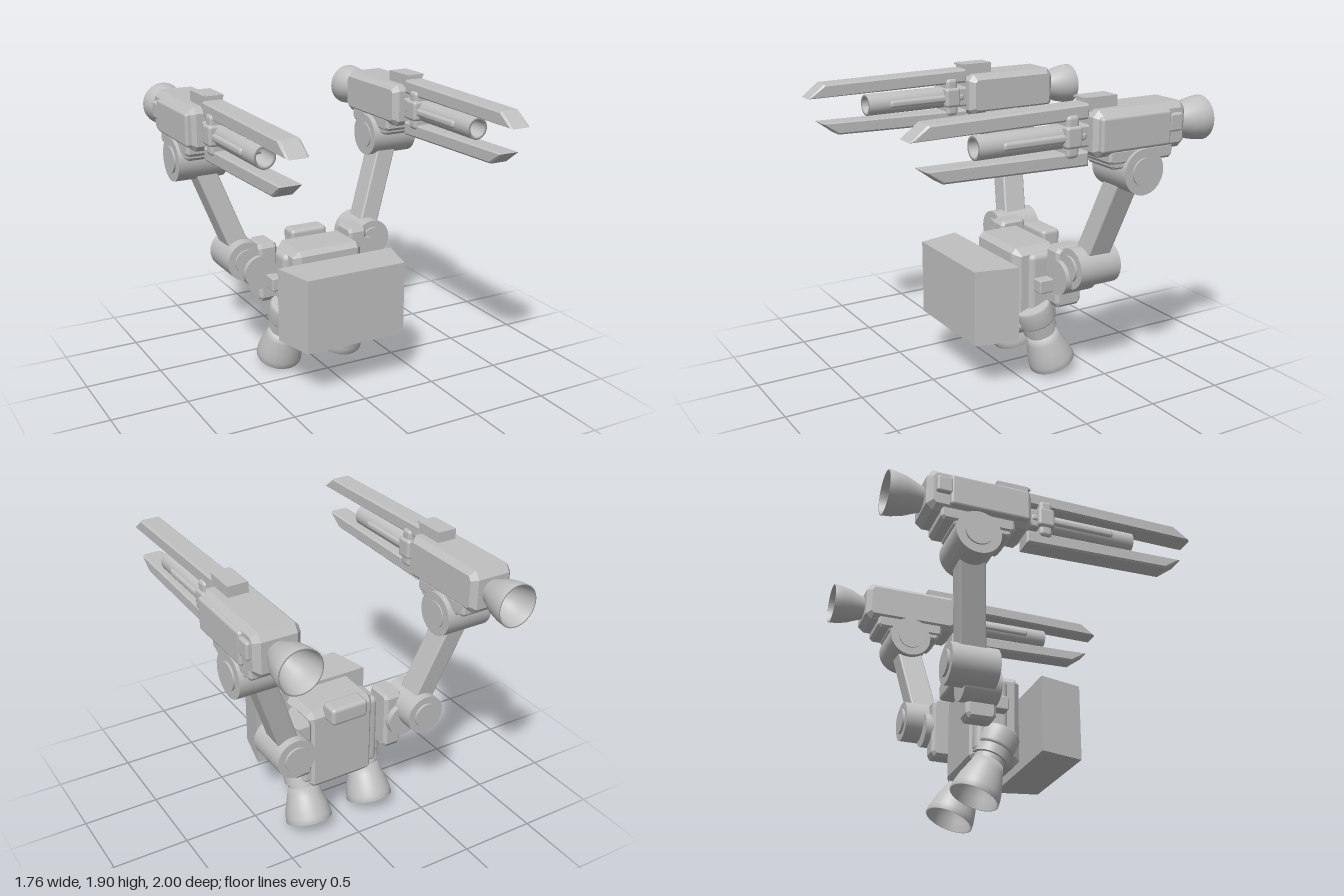
import * as THREE from 'three';
import { RoundedBoxGeometry } from 'three/addons/geometries/RoundedBoxGeometry.js';

export function createModel() {
  const model = new THREE.Group();
  const grey = new THREE.MeshStandardMaterial({ color: 0xc0c0c0, side: THREE.DoubleSide });
  grey.name = 'plain grey';

  const add = (parent, name, geo, x = 0, y = 0, z = 0) => {
    const mesh = new THREE.Mesh(geo, grey);
    mesh.name = name;
    mesh.position.set(x, y, z);
    parent.add(mesh);
    return mesh;
  };
  const rounded = (w, h, d, r) => new RoundedBoxGeometry(w, h, d, 2, r);
  const cyl = (r, len, axis) => {
    const g = new THREE.CylinderGeometry(r, r, len, 40);
    if (axis === 'x') g.rotateZ(Math.PI / 2);
    if (axis === 'z') g.rotateX(Math.PI / 2);
    return g;
  };
  // Side outline of [z, y] points, extruded to a width along x with chamfered edges
  const sideExtrude = (points, width, bevel) => {
    const shape = new THREE.Shape(points.map(([z, y]) => new THREE.Vector2(z, y)));
    const g = new THREE.ExtrudeGeometry(shape, {
      depth: width - 2 * bevel, bevelEnabled: true, bevelThickness: bevel,
      bevelSize: bevel, bevelOffset: -bevel, bevelSegments: 1,
    });
    g.translate(0, 0, bevel - width / 2);
    g.rotateY(-Math.PI / 2);
    return g;
  };
  const lathe = (points) =>
    new THREE.LatheGeometry(points.map(([r, y]) => new THREE.Vector2(r, y)), 40);

  // Torso
  add(model, 'torso', sideExtrude(
    [[0.035, 0.33], [0.035, 0.84], [0.005, 0.872], [-0.25, 0.872], [-0.285, 0.83],
      [-0.285, 0.33], [-0.25, 0.29], [0, 0.29]], 0.5, 0.045));
  add(model, 'torsoSides', rounded(0.57, 0.5, 0.21, 0.04), 0, 0.585, -0.165);
  add(model, 'backBlock', rounded(0.26, 0.12, 0.13, 0.025), 0, 0.86, -0.315);

  // Front shield block, narrower towards the front
  const shield = new THREE.Shape();
  shield.moveTo(-0.41, -0.105);
  shield.lineTo(-0.345, -0.385);
  shield.lineTo(0.345, -0.385);
  shield.lineTo(0.41, -0.105);
  shield.closePath();
  const shieldGeo = new THREE.ExtrudeGeometry(shield, { depth: 0.485, bevelEnabled: false });
  shieldGeo.rotateX(-Math.PI / 2);
  add(model, 'frontShield', shieldGeo, 0, 0.34, 0);

  for (const s of [1, -1]) {
    const side = s > 0 ? 'left' : 'right';

    // Thruster, tilted so the bell points down and back
    const thruster = new THREE.Group();
    thruster.name = side + 'Thruster';
    thruster.position.set(s * 0.235, 0.06, -0.26);
    thruster.rotation.x = 0.37;
    add(thruster, 'thrusterBell', lathe(
      [[0.075, 0.23], [0.11, 0.13], [0.134, 0.06], [0.143, 0], [0.153, 0],
        [0.15, 0.04], [0.135, 0.11], [0.112, 0.18], [0.095, 0.235], [0, 0.235], [0, 0.225], [0.075, 0.225]]));
    add(thruster, 'thrusterNeck', cyl(0.095, 0.06, 'y'), 0, 0.25, 0);
    add(thruster, 'thrusterCollar', cyl(0.112, 0.07, 'y'), 0, 0.3, 0);
    add(thruster, 'thrusterTop', lathe(
      [[0, 0.325], [0.115, 0.325], [0.126, 0.34], [0.126, 0.44], [0.113, 0.455], [0, 0.455]]));
    model.add(thruster);

    // Shoulder bracket and elbow joints
    const arm = new THREE.Group();
    arm.name = side + 'Arm';
    model.add(arm);
    add(arm, 'bracketAxle', rounded(0.13, 0.09, 0.13, 0.01), s * 0.29, 0.635, -0.15);
    add(arm, 'shoulderBracket', sideExtrude(
      [[-0.18, 0.52], [-0.18, 0.86], [-0.2, 0.89], [-0.35, 0.89], [-0.37, 0.86],
        [-0.37, 0.52], [-0.35, 0.49], [-0.2, 0.49]], 0.13, 0.02), s * 0.335, 0, 0);
    add(arm, 'bracketJoint', cyl(0.112, 0.23, 'z'), s * 0.39, 0.7, -0.295);
    add(arm, 'elbowJoint', cyl(0.13, 0.3, 'z'), s * 0.47, 0.775, -0.375);
    add(arm, 'elbowCap', cyl(0.083, 0.33, 'z'), s * 0.47, 0.775, -0.375);

    // Long upper arm
    const from = new THREE.Vector3(s * 0.465, 0.8, -0.375);
    const to = new THREE.Vector3(s * 0.69, 1.42, -0.465);
    const dir = to.clone().sub(from);
    const beam = add(arm, 'upperArm', rounded(0.135, dir.length(), 0.165, 0.012));
    beam.position.copy(from).add(to).multiplyScalar(0.5);
    beam.quaternion.setFromUnitVectors(new THREE.Vector3(0, 1, 0), dir.normalize());

    // Cannon
    const gun = new THREE.Group();
    gun.name = side + 'Cannon';
    gun.position.x = s * 0.71;
    model.add(gun);
    add(gun, 'cannonPivot', cyl(0.14, 0.325, 'x'), -s * 0.01 + s * 0.003, 1.45, -0.465);
    add(gun, 'pivotCap', cyl(0.086, 0.345, 'x'), -s * 0.005, 1.45, -0.465);
    add(gun, 'cannonBody', sideExtrude(
      [[-0.12, 1.6], [-0.12, 1.8], [-0.155, 1.84], [-0.745, 1.84], [-0.78, 1.79],
        [-0.78, 1.6], [-0.74, 1.565], [-0.155, 1.565]], 0.29, 0.035));
    add(gun, 'upperUnderside', sideExtrude(
      [[-0.23, 1.6], [-0.69, 1.6], [-0.69, 1.53], [-0.67, 1.51], [-0.25, 1.51], [-0.23, 1.53]],
      0.27, 0.015));
    add(gun, 'lowerUnderside', sideExtrude(
      [[-0.25, 1.55], [-0.61, 1.55], [-0.61, 1.5], [-0.59, 1.48], [-0.27, 1.48], [-0.25, 1.5]],
      0.25, 0.012));
    add(gun, 'sidePlate', rounded(0.06, 0.21, 0.5, 0.02), s * 0.14, 1.7, -0.395);
    add(gun, 'sideLatch', rounded(0.05, 0.11, 0.1, 0.015), s * 0.145, 1.725, -0.68);
    add(gun, 'sight', new THREE.BoxGeometry(0.13, 0.08, 0.2), 0, 1.867, -0.22);
    add(gun, 'sightLip', new THREE.BoxGeometry(0.12, 0.012, 0.04), 0, 1.9, -0.12);

    // Rear nozzle
    const nozzle = lathe(
      [[0, 0.02], [0.06, 0.02], [0.095, 0.1], [0.118, 0.17], [0.127, 0.235], [0.137, 0.235],
        [0.132, 0.18], [0.118, 0.115], [0.095, 0.06], [0.073, 0]]);
    nozzle.rotateX(-Math.PI / 2);
    add(gun, 'rearNozzle', nozzle, 0, 1.695, -0.765);

    // Hollow barrel with side ribs and a collar
    const barrel = lathe(
      [[0, 0.5], [0.052, 0.5], [0.052, 0.7], [0.07, 0.7], [0.07, 0], [0, 0]]);
    barrel.rotateX(Math.PI / 2);
    add(gun, 'barrel', barrel, 0, 1.69, -0.11);
    add(gun, 'barrelRibs', rounded(0.165, 0.05, 0.55, 0.02), 0, 1.69, 0.17);
    add(gun, 'barrelMount', rounded(0.15, 0.13, 0.12, 0.015), 0, 1.69, -0.08);
    add(gun, 'barrelCollar', rounded(0.17, 0.25, 0.085, 0.025), 0, 1.695, -0.01);
    add(gun, 'collarClamps', rounded(0.2, 0.13, 0.11, 0.02), 0, 1.695, -0.01);

    // Pointed rails above and below the barrel
    add(gun, 'upperRail', sideExtrude(
      [[-0.13, 1.785], [-0.13, 1.875], [0.89, 1.86], [1, 1.775]], 0.135, 0.012));
    add(gun, 'lowerRail', sideExtrude(
      [[-0.13, 1.51], [-0.13, 1.6], [0.92, 1.612], [0.81, 1.53]], 0.135, 0.012));
  }
  return model;
}
